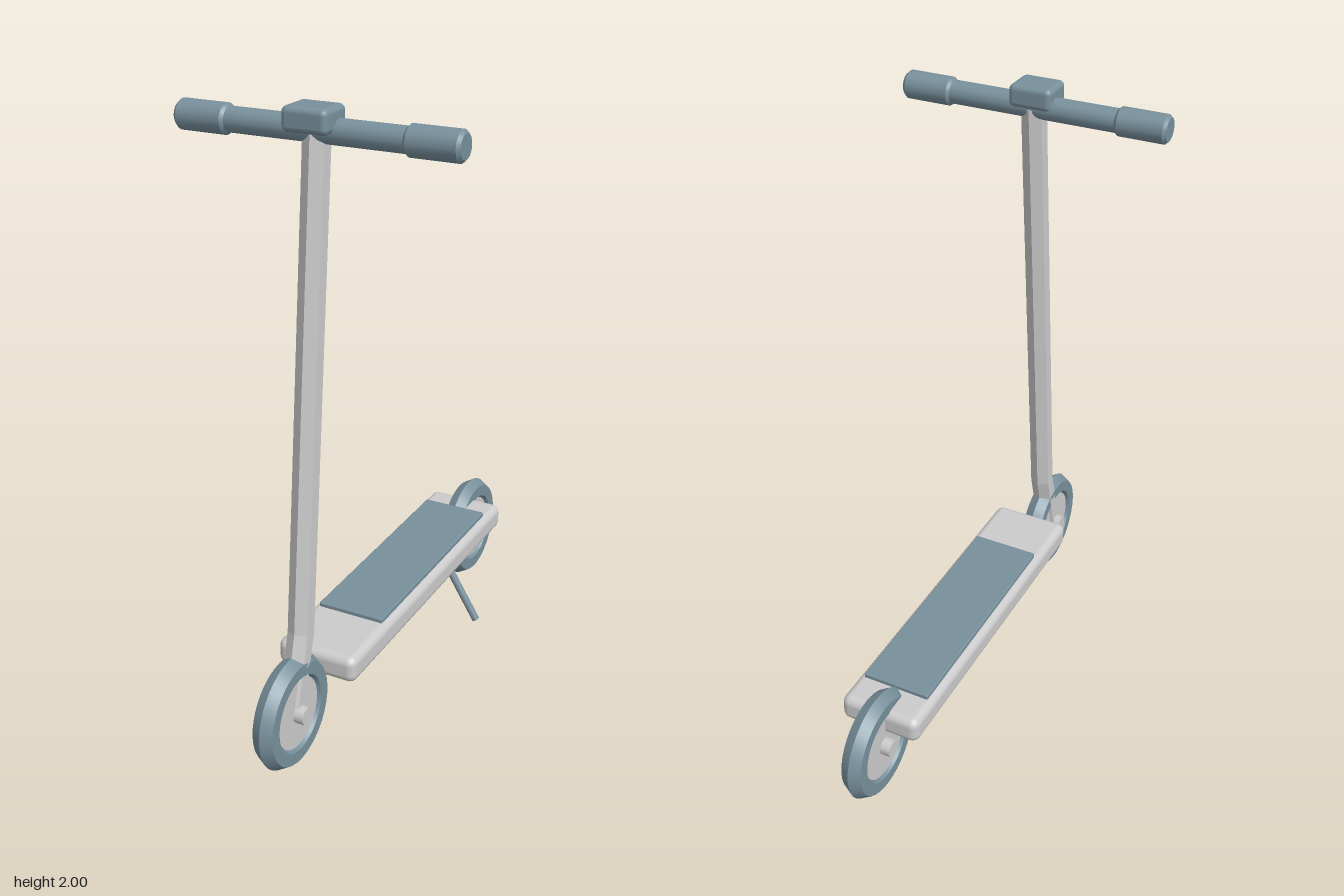
import * as THREE from 'three';
import { toCreasedNormals } from 'three/addons/utils/BufferGeometryUtils.js';
import { RoundedBoxGeometry } from 'three/addons/geometries/RoundedBoxGeometry.js';

const grey = new THREE.MeshStandardMaterial({ color: 0xcccccc });
const slate = new THREE.MeshStandardMaterial({ color: 0x78909c });

export function createModel() {
  const group = new THREE.Group();
  const add = (name, geometry, material, x = 0, y = 0, z = 0, parent = group) => {
    const mesh = new THREE.Mesh(geometry, material);
    mesh.name = name;
    mesh.position.set(x, y, z);
    parent.add(mesh);
    return mesh;
  };
  // Cylinder lying along x
  const rod = (r, length, sides) => new THREE.CylinderGeometry(r, r, length, sides).rotateZ(Math.PI / 2);

  // Wheels: six-sided tyre section, recessed hub disc and axle
  const tyre = toCreasedNormals(new THREE.TorusGeometry(0.144, 0.04, 6, 36).rotateY(Math.PI / 2), 0.6);
  for (const [name, z] of [['frontWheel', 0.656], ['rearWheel', -0.656]]) {
    const wheel = new THREE.Group();
    wheel.name = name;
    wheel.position.set(0, 0.186, z);
    add('tyre', tyre, slate, 0, 0, 0, wheel);
    add('hub', rod(0.115, 0.05, 36), grey, 0, 0, 0, wheel);
    add('axle', rod(0.029, 0.116, 16), grey, 0, 0, 0, wheel);
    group.add(wheel);
  }

  // Deck and grip mat
  add('deck', new RoundedBoxGeometry(0.274, 0.09, 1.156, 3, 0.028), grey, 0, 0.27, -0.07);
  add('deckMat', new RoundedBoxGeometry(0.23, 0.03, 0.81, 2, 0.005), slate, 0, 0.314, -0.128);

  // Stem: hexagonal tube bent above the front axle, mitred at the bend
  const path = [[0.19, 0.653], [0.43, 0.585], [1.93, 0.425]].map(([y, z]) => new THREE.Vector3(0, y, z));
  const stem = new THREE.CylinderGeometry(0.04, 0.04, 2, 6, 2);
  const pos = stem.attributes.position;
  for (let i = 0; i < pos.count; i++) {
    const row = Math.round(pos.getY(i) + 1);
    const dir = path[Math.min(row + 1, 2)].clone().sub(path[Math.max(row, 1)]);
    if (row === 0) dir.subVectors(path[1], path[0]);
    else if (row === 1) dir.normalize().add(path[1].clone().sub(path[0]).normalize());
    else dir.subVectors(path[2], path[1]);
    dir.normalize();
    const across = pos.getZ(i);
    pos.setXYZ(i, pos.getX(i), path[row].y - dir.z * across, path[row].z + dir.y * across);
  }
  add('stem', toCreasedNormals(stem, 0.1), grey);

  // Handlebar with bevelled grips and control box
  const barY = 1.929, barZ = 0.427;
  add('handlebar', rod(0.037, 0.6, 20), slate, 0, barY, barZ);
  const gripProfile = [[0, -0.083], [0.036, -0.083], [0.045, -0.073], [0.045, 0.073], [0.036, 0.083], [0, 0.083]]
    .map(([r, y]) => new THREE.Vector2(r, y));
  const grip = toCreasedNormals(new THREE.LatheGeometry(gripProfile, 20).rotateZ(Math.PI / 2), 0.5);
  for (const side of [1, -1]) {
    add(side > 0 ? 'leftGrip' : 'rightGrip', grip, slate, side * 0.358, barY, barZ);
  }
  add('controlBox', new RoundedBoxGeometry(0.142, 0.072, 0.12, 3, 0.018), slate, 0, 1.964, 0.443);

  // Kickstand leaning out on the left
  const top = new THREE.Vector3(0.09, 0.25, -0.265), foot = new THREE.Vector3(0.211, 0.049, -0.265);
  const along = foot.clone().sub(top);
  const mid = top.clone().add(foot).multiplyScalar(0.5);
  const stand = add('kickstand', new THREE.CylinderGeometry(0.013, 0.013, along.length(), 12), slate, mid.x, mid.y, mid.z);
  stand.quaternion.setFromUnitVectors(new THREE.Vector3(0, 1, 0), along.normalize());

  return group;
}
